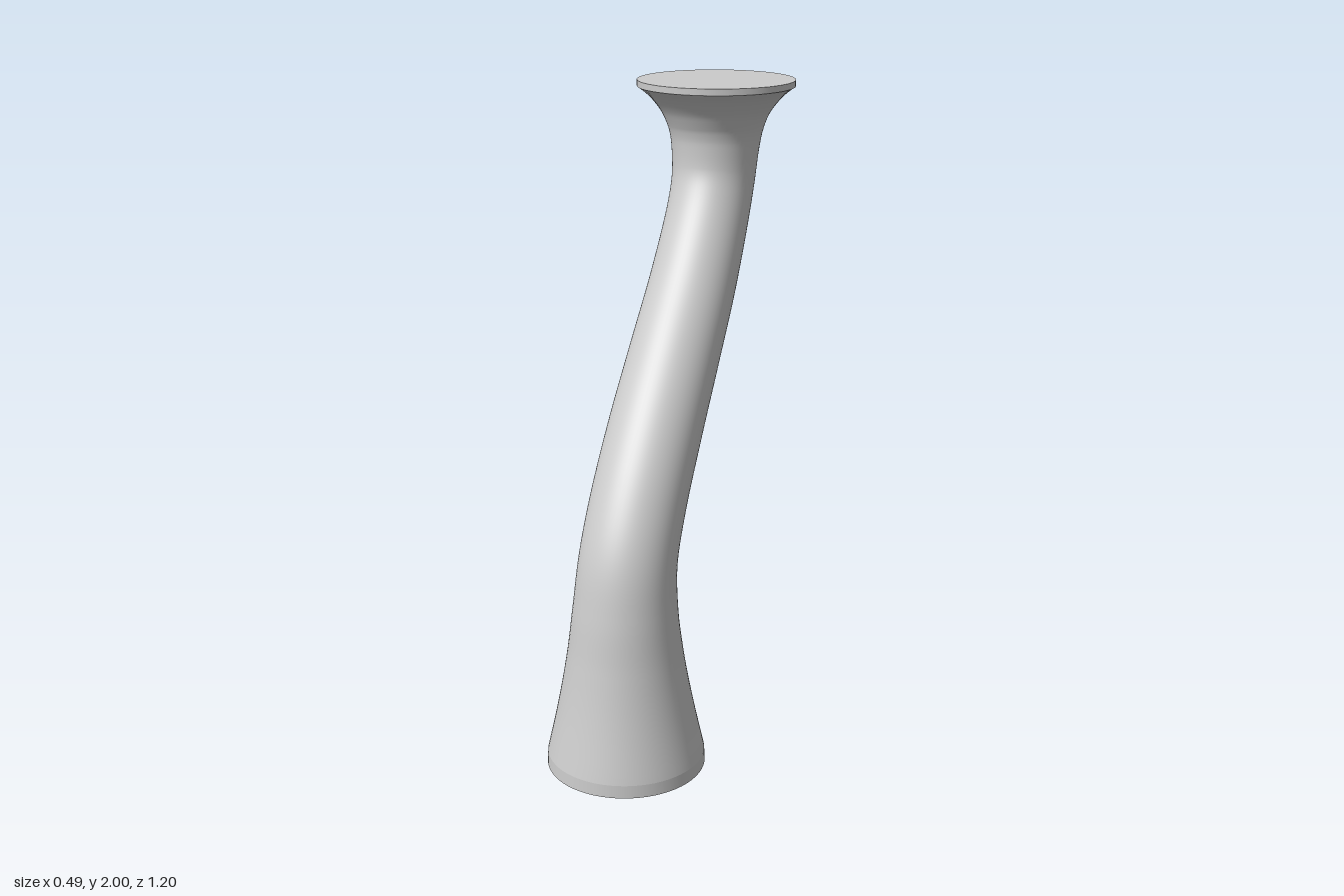
import * as THREE from 'three';

const SIDES = 64, STEPS = 96;
const BASE_Z = 0.36, TOP_Z = -0.354;

// Stations along the leg: [height, centre z, radius]
const STATIONS = [
  [0.04, BASE_Z, 0.241], [0.2, BASE_Z, 0.206], [0.35, BASE_Z, 0.179], [0.5, 0.357, 0.16],
  [0.65, 0.335, 0.149], [0.8, 0.265, 0.146], [1.0, 0.132, 0.144], [1.2, -0.02, 0.14],
  [1.4, -0.172, 0.135], [1.6, -0.295, 0.13], [1.7, -0.336, 0.131], [1.8, -0.351, 0.139],
  [1.85, TOP_Z, 0.149], [1.9, TOP_Z, 0.17], [1.95, TOP_Z, 0.209], [1.98, TOP_Z, 0.245],
];

// Sweeps round cross-sections, square to the path, along the bent centre line
function sweptStem() {
  // x carries the radius so that it is smoothed together with the path
  const curve = new THREE.CatmullRomCurve3(
    STATIONS.map(([y, z, r]) => new THREE.Vector3(r, y, z)), false, 'centripetal');
  const positions = [], index = [];
  for (let i = 0; i <= STEPS; i++) {
    const c = curve.getPoint(i / STEPS);
    const t = curve.getTangent(i / STEPS);
    // level sections at both ends
    const tilt = i === 0 || i === STEPS ? 0 : Math.atan2(t.z, t.y);
    for (let j = 0; j < SIDES; j++) {
      const a = (j / SIDES) * Math.PI * 2;
      const s = Math.sin(a) * c.x;
      positions.push(Math.cos(a) * c.x, c.y - s * Math.sin(tilt), c.z + s * Math.cos(tilt));
      if (i === STEPS) continue;
      const k = (j + 1) % SIDES;
      const p = i * SIDES + j, q = i * SIDES + k;
      index.push(p, p + SIDES, q, q, p + SIDES, q + SIDES);
    }
  }
  const geometry = new THREE.BufferGeometry();
  geometry.setAttribute('position', new THREE.Float32BufferAttribute(positions, 3));
  geometry.setIndex(index);
  geometry.computeVertexNormals();
  return geometry;
}

export function createModel() {
  const group = new THREE.Group();
  group.name = 'curvedLeg';
  const material = new THREE.MeshStandardMaterial({ color: 0xcccccc });
  const add = (name, geometry, y = 0, z = 0) => {
    const mesh = new THREE.Mesh(geometry, material);
    mesh.name = name;
    mesh.position.set(0, y, z);
    group.add(mesh);
  };

  // Bent stem, flaring at both ends
  add('stem', sweptStem());
  // Short straight foot with a flat underside
  add('foot', new THREE.CylinderGeometry(0.241, 0.243, 0.04, SIDES), 0.02, BASE_Z);
  // Thin flat disc on top
  add('topPlate', new THREE.CylinderGeometry(0.247, 0.247, 0.02, SIDES), 1.99, TOP_Z);

  return group;
}
